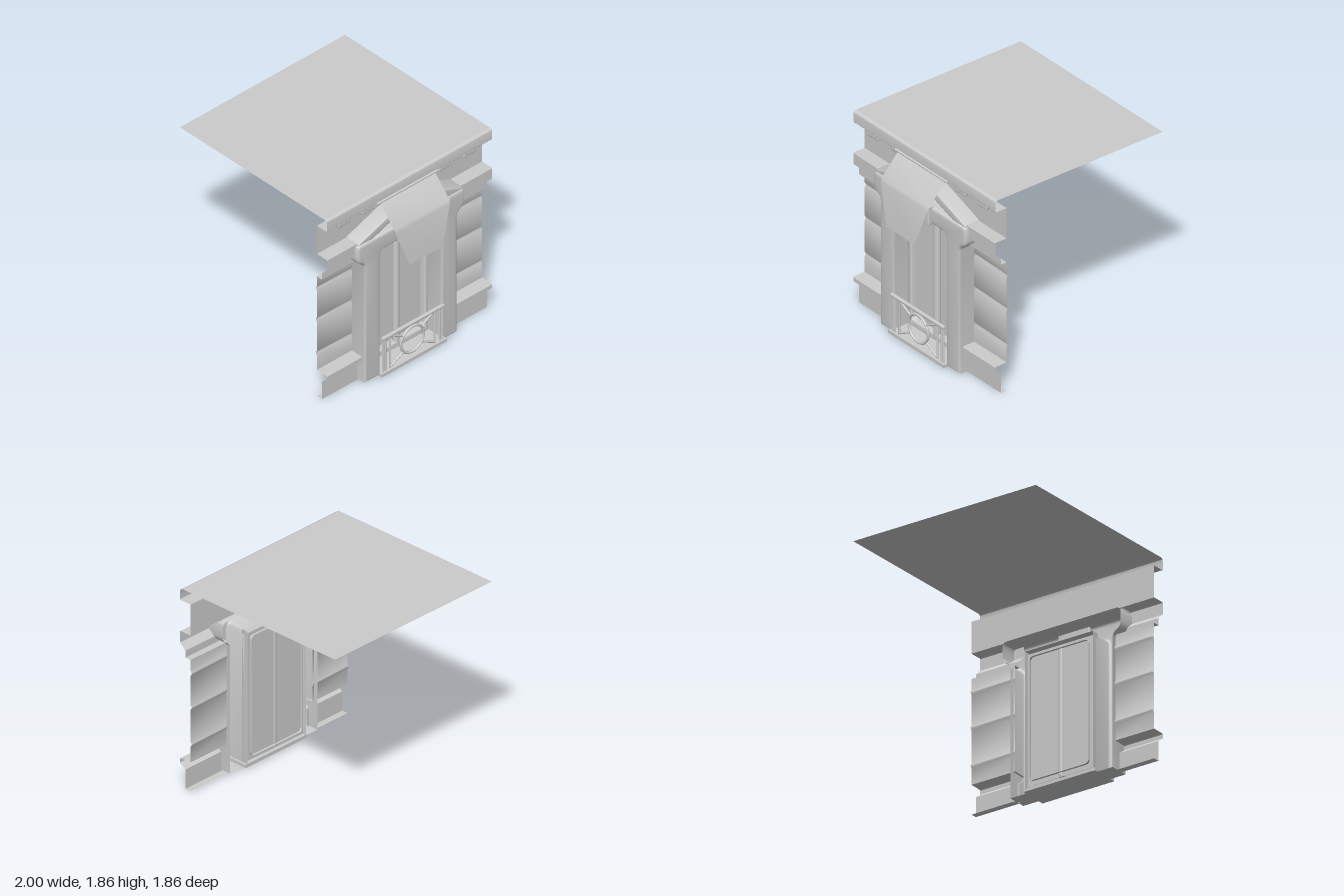
import * as THREE from 'three';
import { toCreasedNormals } from 'three/addons/utils/BufferGeometryUtils.js';
import { RoundedBoxGeometry } from 'three/addons/geometries/RoundedBoxGeometry.js';

const MAT = new THREE.MeshStandardMaterial({ color: 0xcccccc, side: THREE.DoubleSide });
const Z0 = 0.015; // centre line of the window bay

function add(parent, name, geometry, x = 0, y = 0, z = 0) {
  const mesh = new THREE.Mesh(geometry, MAT);
  mesh.name = name;
  mesh.position.set(x, y, z);
  parent.add(mesh);
  return mesh;
}

// Open sheet: an (x, y) profile swept along z
function sheet(profile, z0, z1) {
  const pos = [];
  for (let i = 0; i + 1 < profile.length; i++) {
    const [ax, ay] = profile[i], [bx, by] = profile[i + 1];
    pos.push(ax, ay, z0, bx, by, z1, bx, by, z0, ax, ay, z0, ax, ay, z1, bx, by, z1);
  }
  const g = new THREE.BufferGeometry();
  g.setAttribute('position', new THREE.Float32BufferAttribute(pos, 3));
  return toCreasedNormals(g, 0.6);
}

// Facade shape pushed out along +x, rounded front edge, hollow at the back
function facade(shape, depth, bevel) {
  const g = new THREE.ExtrudeGeometry(shape, {
    depth: depth - bevel, bevelThickness: bevel, bevelSize: bevel,
    bevelOffset: -bevel, bevelSegments: 4, curveSegments: 8,
  });
  const src = g.attributes.position, pos = [];
  for (let i = 0; i < src.count; i += 3) {
    if (Math.max(src.getZ(i), src.getZ(i + 1), src.getZ(i + 2)) < 1e-5) continue;
    for (let k = i; k < i + 3; k++) pos.push(src.getX(k), src.getY(k), src.getZ(k));
  }
  const open = new THREE.BufferGeometry();
  open.setAttribute('position', new THREE.Float32BufferAttribute(pos, 3));
  return toCreasedNormals(open.rotateY(Math.PI / 2), 0.7);
}

// Closed shape from one half outline, mirrored about the centre
function mirrored(half) {
  const all = [...half, ...half.slice().reverse().map(([x, y]) => [-x, y])];
  return new THREE.Shape(all.map(([x, y]) => new THREE.Vector2(x, y)));
}

function roundRect(target, w, y0, y1, r) {
  target.moveTo(-w + r, y0).lineTo(w - r, y0).quadraticCurveTo(w, y0, w, y0 + r)
    .lineTo(w, y1 - r).quadraticCurveTo(w, y1, w - r, y1)
    .lineTo(-w + r, y1).quadraticCurveTo(-w, y1, -w, y1 - r)
    .lineTo(-w, y0 + r).quadraticCurveTo(-w, y0, -w + r, y0);
  return target;
}

// Round bar between two (y, z) points at depth x
function bar(parent, name, x, [y0, z0], [y1, z1], r) {
  const a = new THREE.Vector3(x, y0, z0), b = new THREE.Vector3(x, y1, z1);
  const dir = b.clone().sub(a);
  const m = add(parent, name, new THREE.CylinderGeometry(r, r, dir.length(), 12));
  m.position.copy(a).add(b).multiplyScalar(0.5);
  m.quaternion.setFromUnitVectors(new THREE.Vector3(0, 1, 0), dir.normalize());
}

export function createModel() {
  const model = new THREE.Group();
  model.name = 'facadeModule';

  // Side walls: plinth ledge, three grooves and an upper string course
  const wall = [[0.65, 0], [0.71, 0], [0.71, 0.18], [0.77, 0.225], [0.77, 0.262], [0.765, 0.268], [0.65, 0.27]];
  for (const y of [0.44, 0.785, 1.105]) wall.push([0.65, y - 0.025], [0.638, y - 0.005], [0.638, y + 0.005], [0.65, y + 0.025]);
  wall.push([0.65, 1.23], [0.71, 1.23], [0.71, 1.295], [0.77, 1.35], [0.77, 1.455], [0.765, 1.46], [0.65, 1.46]);
  add(model, 'leftWall', sheet(wall, Z0 + 0.5, 0.93));
  add(model, 'rightWall', sheet(wall, -0.93, Z0 - 0.5));

  // Upper wall, cornice and flat roof
  add(model, 'upperWall', sheet([[0.65, 1.46], [0.65, 1.75]], -0.93, 0.93));
  add(model, 'cornice', sheet([[0.65, 1.75], [0.765, 1.75], [0.77, 1.756], [0.77, 1.83], [0.766, 1.847], [0.755, 1.857], [0.74, 1.86]], -0.93, 0.93));
  add(model, 'roof', sheet([[0.74, 1.86], [-1, 1.86]], -0.93, 0.93));
  for (const z of [-0.705, -0.43, 0.435, 0.705])
    add(model, 'corniceBlock', new RoundedBoxGeometry(0.065, 0.065, 0.14, 3, 0.015), 0.712, 1.72, z);

  const bay = new THREE.Group();
  bay.name = 'windowBay';
  bay.position.z = Z0;
  model.add(bay);

  // Surround with flared shoulders
  const surround = mirrored([
    [0.345, 0.015], [0.52, 0.015], [0.52, 1.2], [0.528, 1.225], [0.55, 1.248], [0.583, 1.268], [0.598, 1.29],
    [0.602, 1.32], [0.602, 1.41], [0.594, 1.437], [0.565, 1.45],
  ].concat([]));
  // Reshape the mirrored outline into an arch with rounded inner corners
  const outer = surround.getPoints().slice(1, -1);
  const inner = [[-0.345, 0.015], [-0.345, 1.245], [-0.333, 1.277], [-0.3, 1.29], [0.3, 1.29], [0.333, 1.277], [0.345, 1.245], [0.345, 0.015]];
  const arch = new THREE.Shape([...outer, ...inner.map(([x, y]) => new THREE.Vector2(x, y))]);
  add(bay, 'surround', facade(arch, 0.2, 0.025), 0.61);

  // Gable above the surround
  const gable = mirrored([[0.42, 1.445], [0.585, 1.445], [0.585, 1.462], [0.57, 1.472], [0.03, 1.668]]);
  const gp = gable.getPoints().slice(1, -1);
  add(bay, 'gable', facade(new THREE.Shape([...gp, new THREE.Vector2(-0.42, 1.445), new THREE.Vector2(0, 1.595), new THREE.Vector2(0.42, 1.445)]), 0.15, 0.012), 0.65);
  add(bay, 'keystone', new RoundedBoxGeometry(0.065, 0.18, 0.32, 3, 0.012), 0.812, 1.37, 0);

  // Window frame, pane and mullion
  const frame = mirrored([[0.345, 0.015], [0.345, 1.285]]);
  frame.holes.push(roundRect(new THREE.Path(), 0.3, 0.1, 1.225, 0.04));
  add(bay, 'windowFrame', facade(frame, 0.075, 0.012), 0.575);
  add(bay, 'pane', sheet([[0.595, 0.06], [0.595, 1.26]], -0.33, 0.33));
  bar(bay, 'mullion', 0.62, [0.07, 0], [1.25, 0], 0.032);

  // Balcony ledge, rail, posts, ring and diagonals
  add(bay, 'ledge', new THREE.BoxGeometry(0.265, 0.03, 0.73), 0.7125, 0.03, 0);
  const bx = 0.82, cy = 0.215, ring = 0.128;
  bar(bay, 'handrail', bx, [0.383, -0.348], [0.383, 0.348], 0.018);
  add(bay, 'railRing', new THREE.TorusGeometry(ring, 0.012, 10, 40).rotateY(Math.PI / 2), bx, cy, 0);
  for (const s of [-1, 1]) {
    for (const z of [0.25, 0.305, 0.33]) bar(bay, 'railPost', bx, [0.04, s * z], [0.38, s * z], 0.009);
    for (const t of [-1, 1])
      bar(bay, 'railDiagonal', bx, [cy + t * 0.08, s * 0.1], [cy + t * 0.16, s * 0.25], 0.009);
  }

  // Awning: sloped top sheet, then a tapering drop
  const rows = [[0.775, 1.75, 0.31], [0.95, 1.56, 0.31], [0.96, 1.53, 0.305], [1, 1.17, 0.185]];
  const pos = [];
  for (let i = 0; i < 3; i++) {
    const [ax, ay, aw] = rows[i], [cx, cyy, cw] = rows[i + 1];
    pos.push(ax, ay, aw, cx, cyy, cw, cx, cyy, -cw, ax, ay, aw, cx, cyy, -cw, ax, ay, -aw);
  }
  const awning = new THREE.BufferGeometry();
  awning.setAttribute('position', new THREE.Float32BufferAttribute(pos, 3));
  add(bay, 'awning', toCreasedNormals(awning, 0.75), 0, 0, 0.012);
  bar(bay, 'awningRod', 0.772, [1.752, -0.325], [1.752, 0.355], 0.012);

  return model;
}
